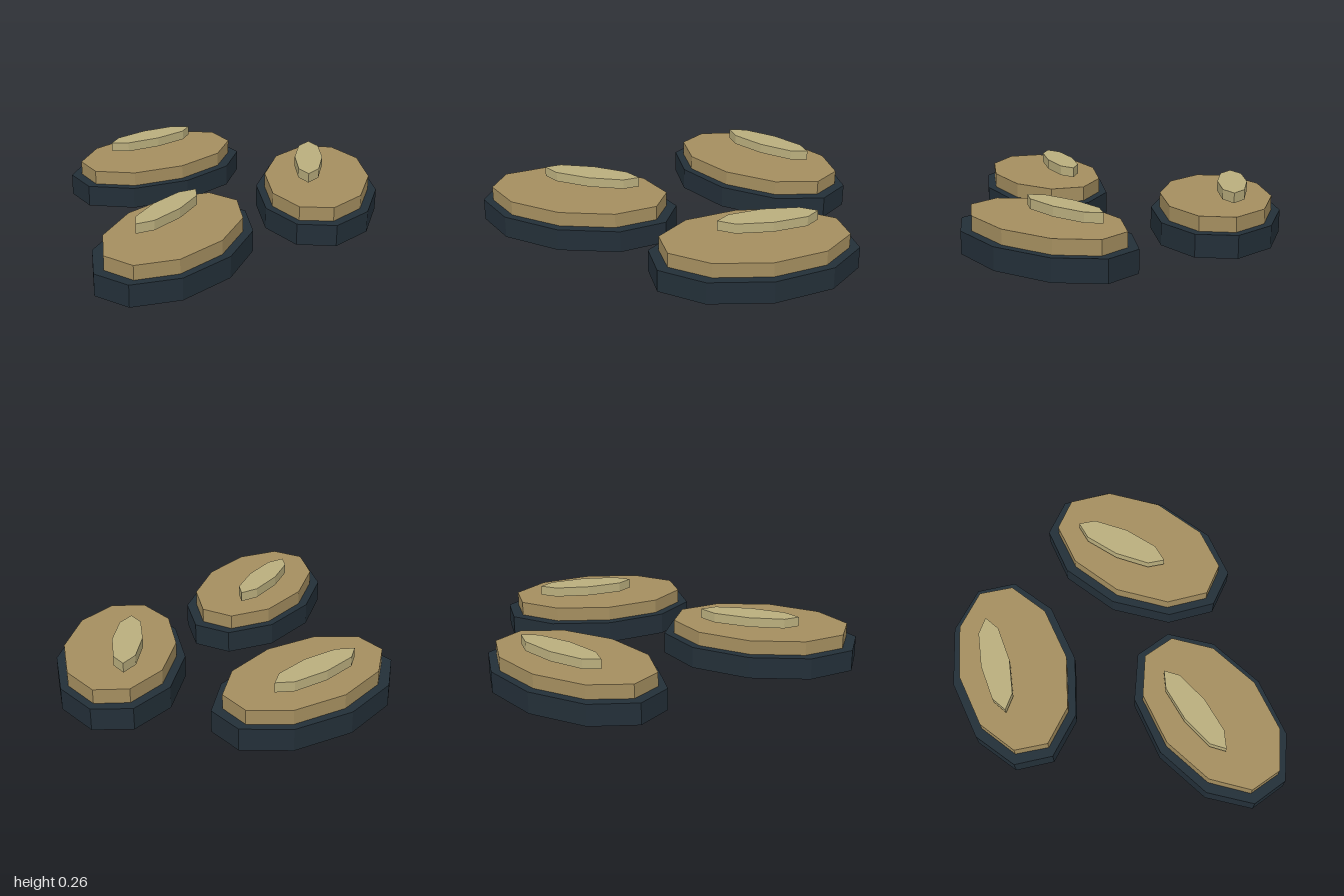
import * as THREE from 'three';

const makeMaterial = (name, color) => {
  const m = new THREE.MeshStandardMaterial({ color, side: THREE.DoubleSide, flatShading: true });
  m.name = name;
  return m;
};

// Faceted oval shell, open underneath: corner k lies at c + u cos t + v sin t (x, z pairs)
function ovalShell(c, u, v, sides, y0, y1) {
  const corner = (k, y) => {
    const t = (k / sides) * Math.PI * 2;
    return [
      c[0] + u[0] * Math.cos(t) + v[0] * Math.sin(t),
      y,
      c[1] + u[1] * Math.cos(t) + v[1] * Math.sin(t),
    ];
  };
  const pos = [];
  for (let k = 0; k < sides; k++) {
    const a0 = corner(k, y0), b0 = corner(k + 1, y0);
    const a1 = corner(k, y1), b1 = corner(k + 1, y1);
    pos.push(...a1, ...b1, ...a0, ...b1, ...b0, ...a0); // wall
    pos.push(c[0], y1, c[1], ...b1, ...a1); // top
  }
  const geometry = new THREE.BufferGeometry();
  geometry.setAttribute('position', new THREE.Float32BufferAttribute(pos, 3));
  geometry.computeVertexNormals();
  return geometry;
}

export function createModel() {
  const dark = makeMaterial('dark slate', 0x232f38);
  const tan = makeMaterial('tan', 0xa48e5f);
  const pale = makeMaterial('pale tan', 0xbaae7d);

  // Each oval: centre and two half-axes of the body, then of the raised highlight
  const ovals = [
    { name: 'leftBackOval', c: [-0.478, -0.405], u: [0.151, -0.494], v: [0.354, 0.008],
      hc: [-0.546, -0.456], hu: [0.124, -0.232], hv: [0.068, 0.033] },
    { name: 'rightBackOval', c: [0.487, -0.488], u: [-0.102, -0.507], v: [0.351, 0.029],
      hc: [0.414, -0.543], hu: [-0.099, -0.237], hv: [0.068, -0.034] },
    { name: 'frontOval', c: [0.129, 0.478], u: [-0.051, -0.513], v: [0.327, -0.133],
      hc: [0.058, 0.424], hu: [0.024, -0.261], hv: [0.073, -0.003] },
  ];

  const model = new THREE.Group();
  model.name = 'ovalCluster';
  for (const o of ovals) {
    const group = new THREE.Group();
    group.name = o.name;
    const add = (name, geometry, material) => {
      const mesh = new THREE.Mesh(geometry, material);
      mesh.name = name;
      group.add(mesh);
    };
    // Dark base, inset tan body sunk into it, and a floating highlight
    add('base', ovalShell(o.c, o.u, o.v, 10, 0, 0.115), dark);
    const inU = o.u.map((n) => n * 0.9), inV = o.v.map((n) => n * 0.86);
    add('body', ovalShell(o.c, inU, inV, 10, 0.06, 0.19), tan);
    add('highlight', ovalShell(o.hc, o.hu, o.hv, 8, 0.213, 0.264), pale);
    model.add(group);
  }
  return model;
}
